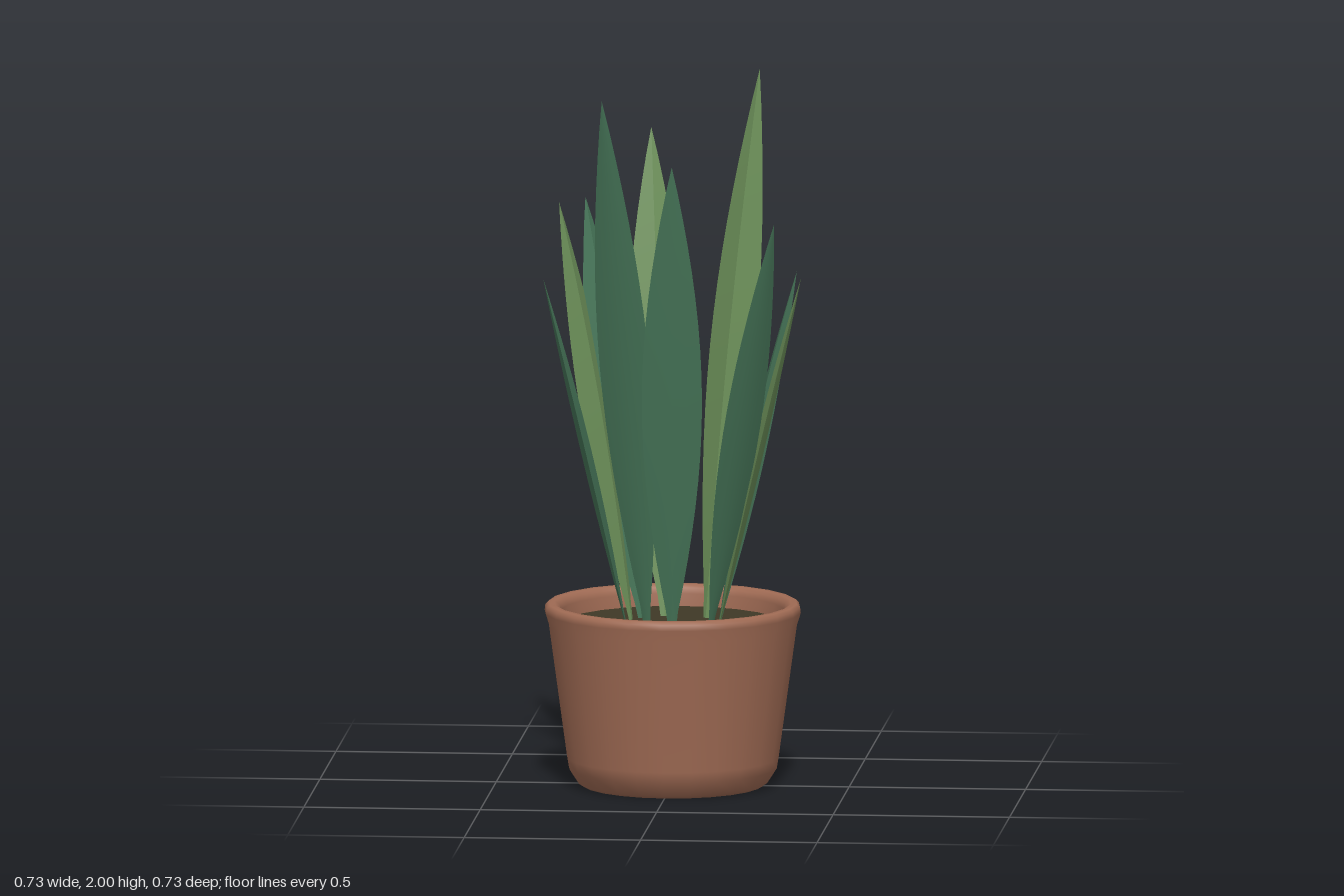
import * as THREE from 'three';
import { mergeGeometries } from 'three/addons/utils/BufferGeometryUtils.js';

const material = (name, color) => {
  const m = new THREE.MeshStandardMaterial({ color });
  m.name = name;
  return m;
};

const SOIL_Y = 0.46;
const ROWS = 18;
const HALF_WIDTH = 0.085;

// One smooth skin of a leaf: columns run across the blade, rows run from base to tip
function leafSkin(columns, offset, flip, point) {
  const pos = [], index = [];
  const n = columns.length;
  for (let i = 0; i <= ROWS; i++) {
    for (const s of columns) pos.push(...point(i / ROWS, s, offset(s)));
  }
  for (let i = 0; i < ROWS; i++) {
    for (let j = 0; j < n - 1; j++) {
      const a = i * n + j, b = a + 1, c = a + n, d = c + 1;
      if (flip) index.push(a, c, b, b, c, d);
      else index.push(a, b, c, b, d, c);
    }
  }
  const g = new THREE.BufferGeometry();
  g.setAttribute('position', new THREE.Float32BufferAttribute(pos, 3));
  g.setIndex(index);
  g.computeVertexNormals();
  return g;
}

// Sword-shaped leaf: rounded outer face, creased midrib on the inner face
function leafGeometry(baseX, baseZ, tipX, tipY, tipZ) {
  const base = new THREE.Vector3(baseX, SOIL_Y - 0.02, baseZ);
  const tip = new THREE.Vector3(tipX, tipY, tipZ);
  const along = tip.clone().sub(base).normalize();
  const radial = new THREE.Vector3(tipX - baseX, 0, tipZ - baseZ).normalize();
  const side = new THREE.Vector3(0, 1, 0).cross(radial);
  const outward = side.clone().cross(along);
  const point = (t, s, depth) => {
    const swell = Math.max(Math.pow(Math.max(Math.sin(Math.PI * t), 0), 0.92), t < 0.5 ? 0.1 : 0.004);
    return base.clone().lerp(tip, t)
      .addScaledVector(side, s * HALF_WIDTH * swell)
      .addScaledVector(outward, depth * swell)
      .toArray();
  };
  const outer = s => 0.01 * (1 - s * s);
  const inner = s => -0.02 * (1 - Math.abs(s));
  return mergeGeometries([
    leafSkin([-1, -0.5, 0, 0.5, 1], outer, false, point),
    leafSkin([-1, -0.5, 0], inner, true, point),
    leafSkin([0, 0.5, 1], inner, true, point),
  ]);
}

export function createModel() {
  const model = new THREE.Group();
  model.name = 'pottedPlant';

  const clay = material('terracotta', 0xa06b54);
  const earth = material('soil', 0x3f3926);
  const deep = material('deepGreen', 0x467558);
  const olive = material('oliveGreen', 0x6d915a);

  const add = (name, geometry, mat) => {
    const mesh = new THREE.Mesh(geometry, mat);
    mesh.name = name;
    model.add(mesh);
    return mesh;
  };

  // Pot: base, tapered wall, rounded lip and inner wall
  const profile = [
    [0, 0], [0.255, 0], [0.268, 0.008], [0.295, 0.05], [0.3, 0.08], [0.352, 0.46],
    [0.363, 0.495], [0.361, 0.511], [0.352, 0.52], [0.335, 0.52],
    [0.322, 0.511], [0.316, 0.495], [0.31, SOIL_Y - 0.02],
  ].map(([r, y]) => new THREE.Vector2(r, y));
  add('pot', new THREE.LatheGeometry(profile, 24), clay);

  // Soil disc
  const soil = add('soil', new THREE.CircleGeometry(0.313, 24), earth);
  soil.rotation.x = -Math.PI / 2;
  soil.position.y = SOIL_Y;

  // Leaves: base x, base z, tip x, tip y, tip z, colour
  const leaves = [
    [-0.035, -0.127, -0.093, 1.82, -0.355, olive],
    [0.083, -0.107, 0.22, 2.0, -0.292, olive],
    [0.125, -0.048, 0.34, 1.45, -0.127, deep],
    [0.128, -0.004, 0.363, 1.45, -0.003, olive],
    [0.11, 0.068, 0.305, 1.635, 0.195, deep],
    [0.01, 0.13, 0.03, 1.82, 0.36, deep],
    [-0.06, 0.11, -0.172, 2.0, 0.32, deep],
    [-0.127, 0.02, -0.362, 1.45, 0.058, deep],
    [-0.12, -0.055, -0.335, 1.635, -0.145, olive],
    [-0.095, -0.09, -0.27, 1.635, -0.25, deep],
  ];
  leaves.forEach(([bx, bz, tx, ty, tz, mat], i) => {
    add('leaf' + (i + 1), leafGeometry(bx, bz, tx, ty, tz), mat);
  });

  return model;
}
